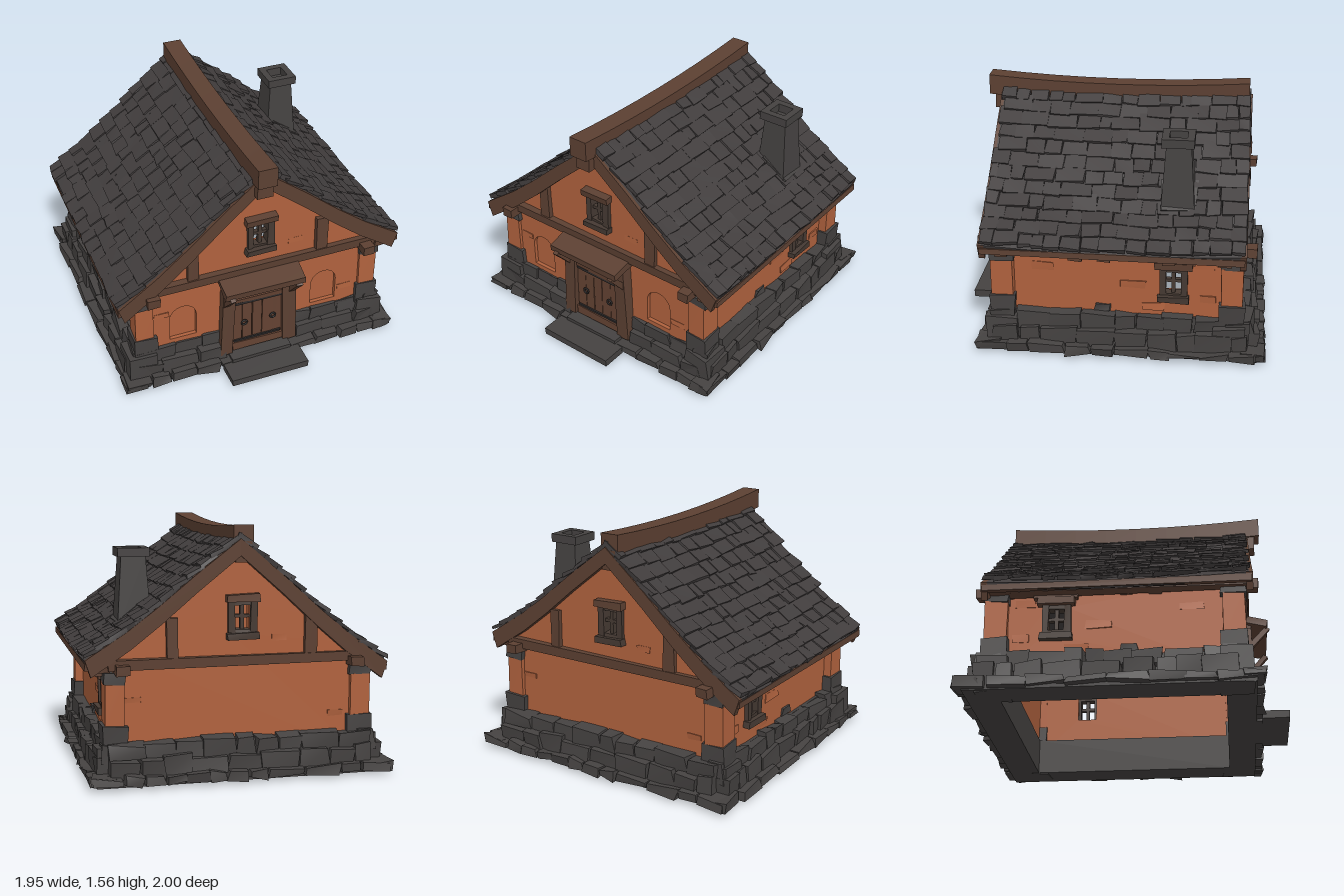
import * as THREE from 'three';
import { mergeGeometries } from 'three/addons/utils/BufferGeometryUtils.js';

const mat = (name, color) => {
  const m = new THREE.MeshStandardMaterial({ color });
  m.name = name;
  return m;
};

export function createModel() {
  const house = new THREE.Group();
  house.name = 'cottage';
  const plaster = mat('plaster', 0xb0623e), wood = mat('wood', 0x5c4032), doorWood = mat('doorWood', 0x634232);
  const stone = mat('stone', 0x454241), slate = mat('slate', 0x413d3d);
  const frameWood = mat('frameWood', 0x463a33), iron = mat('iron', 0x2e2b2b);

  let seed = 7;
  const rnd = () => (seed = (seed * 16807) % 2147483647) / 2147483647;
  const add = (name, material, geos, parent = house) => {
    const list = [].concat(geos).map(g => (g.index ? g.toNonIndexed() : g));
    const mesh = new THREE.Mesh(mergeGeometries(list), material);
    mesh.name = name;
    parent.add(mesh);
  };
  // Hand-hewn box: every corner is nudged by up to j
  const box = (w, h, d, x, y, z, j = 0.005, rz = 0, rx = 0) => {
    const g = new THREE.BoxGeometry(w, h, d), p = g.attributes.position;
    const off = Array.from({ length: 24 }, () => (rnd() * 2 - 1) * j);
    for (let i = 0; i < p.count; i++) {
      const c = 3 * ((p.getX(i) > 0) + 2 * (p.getY(i) > 0) + 4 * (p.getZ(i) > 0));
      p.setXYZ(i, p.getX(i) + off[c], p.getY(i) + off[c + 1], p.getZ(i) + off[c + 2]);
    }
    g.computeVertexNormals();
    return g.rotateX(rx).rotateZ(rz).translate(x, y, z);
  };
  const extrude = (shape, depth, steps = 1) =>
    new THREE.ExtrudeGeometry(shape, { depth, steps, bevelEnabled: false, curveSegments: 8 });
  const rect = (P, x0, y0, x1, y1) => {
    const p = new P();
    p.moveTo(x0, y0); p.lineTo(x1, y0); p.lineTo(x1, y1); p.lineTo(x0, y1); p.closePath();
    return p;
  };

  // Roof curve: concave slopes, left eave a little lower, ridge sagging in the middle
  const X = [0, 0.28, 0.5, 0.7, 0.95], Y = [1.46, 1.245, 1.065, 0.915, 0.755];
  const roofY = x => {
    const a = Math.abs(x);
    let i = 0;
    while (i < 3 && a > X[i + 1]) i++;
    return Y[i] + (Y[i + 1] - Y[i]) * (a - X[i]) / (X[i + 1] - X[i]) - (x < 0 ? 0.08 * a : 0);
  };
  const sag = z => 0.025 * (((z + 0.03) / 0.8) ** 2 - 1);
  const roofXs = [...X.slice(1).reverse().map(x => -x), ...X];
  const roofBand = (thick, z0, depth, steps) => {
    const top = roofXs.map(x => new THREE.Vector2(x, roofY(x)));
    const low = roofXs.map(x => new THREE.Vector2(x * (1 - thick * 0.35), roofY(x) - thick)).reverse();
    const g = extrude(new THREE.Shape([...top, ...low]), depth, steps).translate(0, 0, z0);
    const p = g.attributes.position;
    for (let i = 0; i < p.count; i++) p.setY(i, p.getY(i) + sag(p.getZ(i)));
    g.computeVertexNormals();
    return g;
  };
  add('roofDeck', slate, roofBand(0.04, -0.82, 1.59, 6));
  add('bargeBoards', wood, [roofBand(0.105, 0.75, 0.04, 1), roofBand(0.105, -0.85, 0.04, 1)]);

  // Overlapping slates
  const slates = [], rows = 12, step = 0.935 / rows;
  for (const s of [-1, 1]) for (let r = 0; r < rows; r++) {
    const xa = s * r * step, xb = s * (r + 1) * step;
    const ang = Math.atan2(roofY(xb) - roofY(xa), xb - xa) + s * 0.12;
    const len = Math.hypot(xb - xa, roofY(xb) - roofY(xa)) * 1.2;
    for (let z = -0.845; z < 0.74;) {
      const w = Math.min(0.07 + rnd() * 0.13, 0.78 - z), zc = z + w / 2;
      slates.push(box(len + rnd() * 0.025, 0.026, w - 0.003, (xa + xb) / 2 + s * 0.006,
        (roofY(xa) + roofY(xb)) / 2 + sag(zc) + 0.018, zc, 0.008, ang));
      z += w;
    }
  }
  add('roofSlates', slate, slates);

  // Ridge beam, rising at both ends
  const ridge = new THREE.BoxGeometry(0.125, 0.13, 1.7, 1, 1, 8).translate(-0.02, 1.475, 0.02);
  const rp = ridge.attributes.position;
  for (let i = 0; i < rp.count; i++) rp.setY(i, rp.getY(i) + 0.035 * ((rp.getZ(i) / 0.85) ** 2 - 0.9));
  ridge.computeVertexNormals();
  add('ridgeBeam', wood, [ridge, box(0.1, 0.12, 0.09, -0.02, 1.38, 0.79), box(0.1, 0.12, 0.04, -0.02, 1.38, -0.82)]);

  // Gable walls with attic window; the front one has two arched niches
  const gable = front => {
    const xs = [-0.77, ...roofXs.filter(x => Math.abs(x) < 0.75), 0.77].reverse();
    const shape = new THREE.Shape([new THREE.Vector2(0.77, 0.1), ...xs.map(x =>
      new THREE.Vector2(x, roofY(x) - 0.055)), new THREE.Vector2(-0.77, 0.1)]);
    shape.holes.push(rect(THREE.Path, -0.06, 0.89, 0.06, 1.06));
    if (front) for (const x of [-0.515, 0.465]) {
      const arch = new THREE.Path();
      arch.moveTo(x - 0.09, 0.28); arch.lineTo(x + 0.09, 0.28); arch.lineTo(x + 0.09, 0.44);
      arch.absarc(x, 0.44, 0.09, 0, Math.PI); arch.closePath();
      shape.holes.push(arch);
    }
    return extrude(shape, 0.06);
  };
  add('frontWall', plaster, gable(true).translate(0, 0, 0.66));
  add('backWall', plaster, gable(false).translate(0, 0, -0.81));
  add('nicheBacks', plaster, [-0.515, 0.465].map(x => box(0.22, 0.3, 0.02, x, 0.4, 0.685, 0)));

  // Side walls with a window opening near the back
  const sideWalls = [-1, 1].map(s => {
    const shape = rect(THREE.Shape, -0.68, 0.1, 0.79, s > 0 ? 0.8 : 0.75);
    shape.holes.push(rect(THREE.Path, 0.34, 0.4, 0.47, 0.57));
    return extrude(shape, 0.06).rotateY(Math.PI / 2).translate(s > 0 ? 0.72 : -0.78, 0, 0);
  });
  add('sideWalls', plaster, sideWalls);
  const patches = [];
  for (const s of [-1, 1])
    for (const [z, y, w] of [[0.42, 0.55, 0.14], [-0.15, 0.45, 0.16], [-0.28, 0.3, 0.14], [-0.62, 0.37, 0.1], [-0.6, 0.6, 0.12]])
      patches.push(box(0.02, 0.05, w, s * 0.776, y, z, 0.006));
  for (const [x, y] of [[-0.66, 0.5], [0.62, 0.36], [0.25, 0.85]])
    patches.push(box(0.1, 0.035, 0.02, x, y, 0.714, 0.004), box(0.1, 0.035, 0.02, -x, y, -0.806, 0.004));
  add('exposedBricks', plaster, patches);
  add('exposedStones', stone, [-1, 1].map(s => box(0.03, 0.045, 0.1, s * 0.78, 0.28, 0.04, 0.01)));

  // Windows, modelled facing +z around the middle of the opening
  const windowAt = (name, x, y, z, ry, lintelWidth) => {
    const g = new THREE.Group();
    g.name = name;
    add('windowLintel', wood, box(lintelWidth, 0.045, 0.08, 0, 0.117, 0.02), g);
    add('windowFrame', frameWood, [
      ...[-1, 1].map(s => box(0.04, 0.19, 0.07, s * 0.068, 0, 0)), box(0.2, 0.04, 0.08, 0, -0.115, 0.02),
      box(0.14, 0.03, 0.06, 0, 0.083, 0), box(0.14, 0.02, 0.06, 0, -0.085, 0),
      box(0.024, 0.17, 0.03, 0, 0, 0, 0), box(0.12, 0.02, 0.03, 0, 0.005, 0, 0)], g);
    g.position.set(x, y, z);
    g.rotation.y = ry;
    house.add(g);
  };
  windowAt('frontAtticWindow', 0, 0.975, 0.71, 0, 0.21);
  windowAt('backAtticWindow', -0.015, 0.985, -0.8, Math.PI, 0.21);
  windowAt('leftWindow', 0.77, 0.485, -0.405, Math.PI / 2, 0.23);
  windowAt('rightWindow', -0.77, 0.485, -0.405, -Math.PI / 2, 0.23);
  add('sideLintels', wood, [-1, 1].map(s => box(0.07, 0.035, 0.27, s * 0.79, 0.64, -0.41, 0.006)));

  // Timber framing: cross beams, gable posts, eave boards and purlin ends
  const timber = [];
  for (const z of [0.73, -0.815]) {
    timber.push(box(1.62, 0.065, 0.06, 0, 0.72, z));
    for (const x of [-0.45, 0.42]) timber.push(box(0.075, 0.26, 0.045, x, 0.86, z));
  }
  for (const s of [-1, 1]) {
    const drop = s > 0 ? 0 : 0.07;
    timber.push(box(0.08, 0.055, 1.6, s * 0.84, 0.7 - drop / 2, -0.03));
    timber.push(box(0.035, 0.04, 1.62, s * 0.935, 0.715 - drop, -0.03, 0.004));
    for (const z of [0.76, -0.85]) timber.push(box(0.08, 0.06, 0.13, s * 0.73, 0.695, z));
    for (const z of [0.66, 0.2, 0.02, -0.38, -0.72]) timber.push(box(0.14, 0.045, 0.08, s * 0.81, 0.665, z));
  }
  add('timberFrame', wood, timber);

  // Corner pillars: stone foot, plaster shaft, stone cap
  const feet = [], shafts = [];
  for (const x of [-0.775, 0.775]) for (const z of [0.67, -0.77]) {
    feet.push(box(0.19, 0.22, 0.2, x * 1.025, 0.11, z, 0.014), box(0.15, 0.15, 0.16, x, 0.28, z, 0.01));
    feet.push(box(0.135, 0.07, 0.15, x, 0.635, z, 0.008));
    shafts.push(box(0.12, 0.3, 0.135, x, 0.46, z, 0.006));
  }
  add('cornerStones', stone, feet);
  add('cornerShafts', plaster, shafts);

  // Hollow plinth and footing, with a sloping lining behind the front wall
  const ring = (x, zf, zb, h) => {
    const shape = rect(THREE.Shape, -x, -zf, x, zb);
    shape.holes.push(rect(THREE.Path, -0.69, -0.61, 0.69, 0.74));
    return extrude(shape, h).rotateX(-Math.PI / 2);
  };
  add('plinth', stone, [ring(0.8, 0.73, 0.85, 0.24), ring(0.9, 0.79, 0.94, 0.03)]);
  const lining = [[-0.7, 0.2], [0.7, 0.2], [0.7, 0.72], [0, 0.56], [-0.7, 0.42]].map(p => new THREE.Vector2(...p));
  add('innerLining', stone, extrude(new THREE.Shape(lining), 0.02).translate(0, 0, 0.638));

  // Rubble courses around all four sides: [centre y, height, outward offset, depth]
  const rubble = [];
  const courses = [[0.03, 0.05, 0.07, 0.15], [0.1, 0.125, 0.03, 0.13], [0.195, 0.11, 0, 0.11]];
  const sides = [[0, 0.685, 0.8], [Math.PI, 0.845, 0.8], [Math.PI / 2, 0.8, 0.78], [-Math.PI / 2, 0.8, 0.78]];
  for (const [ry, dist, half] of sides) courses.forEach(([y, h, o, d], k) => {
    const end = half + (k === 0 ? 0.13 : 0.03), shift = 0.07 * Math.sin(ry);
    for (let u = -end; u < end - 0.03;) {
      const w = Math.min(0.11 + rnd() * 0.15, end - u), c = u + w / 2;
      const hh = h * (0.85 + rnd() * 0.35), dd = d * (0.9 + rnd() * 0.2);
      const doorway = ry === 0 && k > 0 && Math.abs(c + 0.02) < 0.27;
      if (!doorway) rubble.push(box(w - 0.006, hh, dd, c + shift, Math.max(y, hh / 2 + 0.015), dist + o, 0.015).rotateY(ry));
      u += w;
    }
  });
  add('rubbleStones', stone, rubble);
  add('doorSteps', stone, [box(0.53, 0.05, 0.17, -0.015, 0.025, 0.912, 0.003), box(0.42, 0.08, 0.15, -0.015, 0.04, 0.77, 0.004)]);

  // Door with posts, lintel, canopy and braces
  add('doorPlanks', doorWood, [-2, -1, 0, 1, 2].map(i => box(0.068, 0.56, 0.03, -0.015 + i * 0.07, 0.355, 0.735, 0.003)));
  add('doorRails', doorWood, [box(0.35, 0.06, 0.02, -0.015, 0.115, 0.757), box(0.35, 0.03, 0.02, -0.015, 0.49, 0.755)]);
  add('doorStraps', iron, [box(0.33, 0.02, 0.012, -0.015, 0.465, 0.756, 0.002), box(0.33, 0.016, 0.012, -0.015, 0.153, 0.756, 0.002),
    ...[-0.1, 0.02, 0.11].map(x => box(0.01, 0.05, 0.01, x, 0.58, 0.752, 0.002))]);
  add('doorHandles', iron, [-0.11, 0.09].map(x => new THREE.TorusGeometry(0.018, 0.007, 6, 10).translate(x, 0.3, 0.762)));
  const porch = [box(0.54, 0.045, 0.17, -0.015, 0.665, 0.805, 0.006, 0, 0.25), box(0.46, 0.05, 0.06, -0.015, 0.63, 0.75)];
  for (const s of [-1, 1]) {
    porch.push(box(0.09, 0.56, 0.08, -0.015 + s * 0.215, 0.35, 0.74, 0.008, s * 0.03));
    porch.push(box(0.04, 0.2, 0.035, -0.015 + s * 0.225, 0.555, 0.82, 0.003, 0, 0.72));
  }
  add('doorPorch', wood, porch);

  // Chimney: shaft flaring downwards, hollow cap
  const taper = new THREE.CylinderGeometry(0.108, 0.152, 0.46, 4, 1, true).rotateY(Math.PI / 4).toNonIndexed();
  taper.computeVertexNormals();
  const cap = rect(THREE.Shape, -0.1, -0.1, 0.1, 0.1);
  cap.holes.push(rect(THREE.Path, -0.055, -0.055, 0.055, 0.055));
  add('chimney', stone, [taper.translate(0.595, 1.12, -0.415), box(0.22, 0.05, 0.22, 0.61, 0.985, -0.42, 0.01, -0.6),
    extrude(cap, 0.055).rotateX(-Math.PI / 2).translate(0.595, 1.335, -0.41), box(0.14, 0.01, 0.14, 0.595, 1.33, -0.415, 0)]);
  return house;
}
